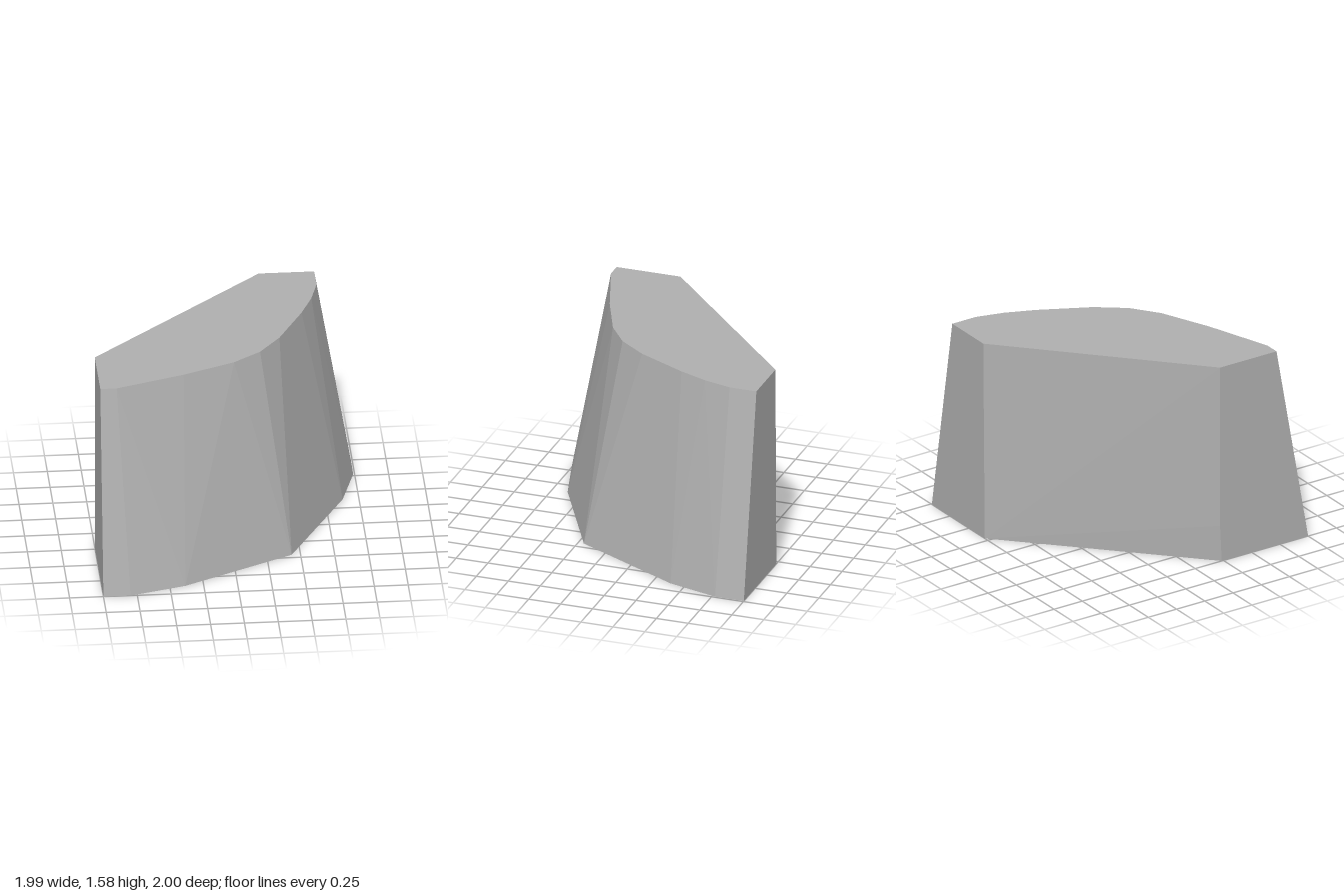
import * as THREE from 'three';
import { ConvexGeometry } from 'three/addons/geometries/ConvexGeometry.js';

const HEIGHT = 1.58;

// Outlines as [x, z], running from the cut back corner around the curved front
const topOutline = [
  [-1, 0.22], [-1, 0.72], [-0.88, 0.72], [-0.37, 0.545], [0.015, 0.38], [0.22, 0.23],
  [0.38, 0.02], [0.575, -0.36], [0.665, -0.58], [0.72, -0.79], [0.72, -1], [0.31, -1],
];
const bottomOutline = [
  [-1, 0.235], [-1, 1], [-0.8, 1], [-0.385, 0.88], [0.435, 0.455],
  [0.88, -0.385], [0.99, -0.775], [0.99, -1], [0.29, -1],
];

const ring = (outline, y) => outline.map(([x, z]) => new THREE.Vector3(x, y, z));

export function createModel() {
  const grey = new THREE.MeshStandardMaterial({ color: 0xb0b0b0, flatShading: true });
  grey.name = 'stone grey';

  // Tapered faceted block, with a slight kink low on the back corner edge
  const points = [
    ...ring(topOutline, HEIGHT),
    ...ring(bottomOutline, 0),
    new THREE.Vector3(-1, 0.29, 0.22),
  ];
  const block = new THREE.Mesh(new ConvexGeometry(points), grey);
  block.name = 'taperedBlock';

  const model = new THREE.Group();
  model.name = 'facetedBlock';
  model.add(block);
  return model;
}
